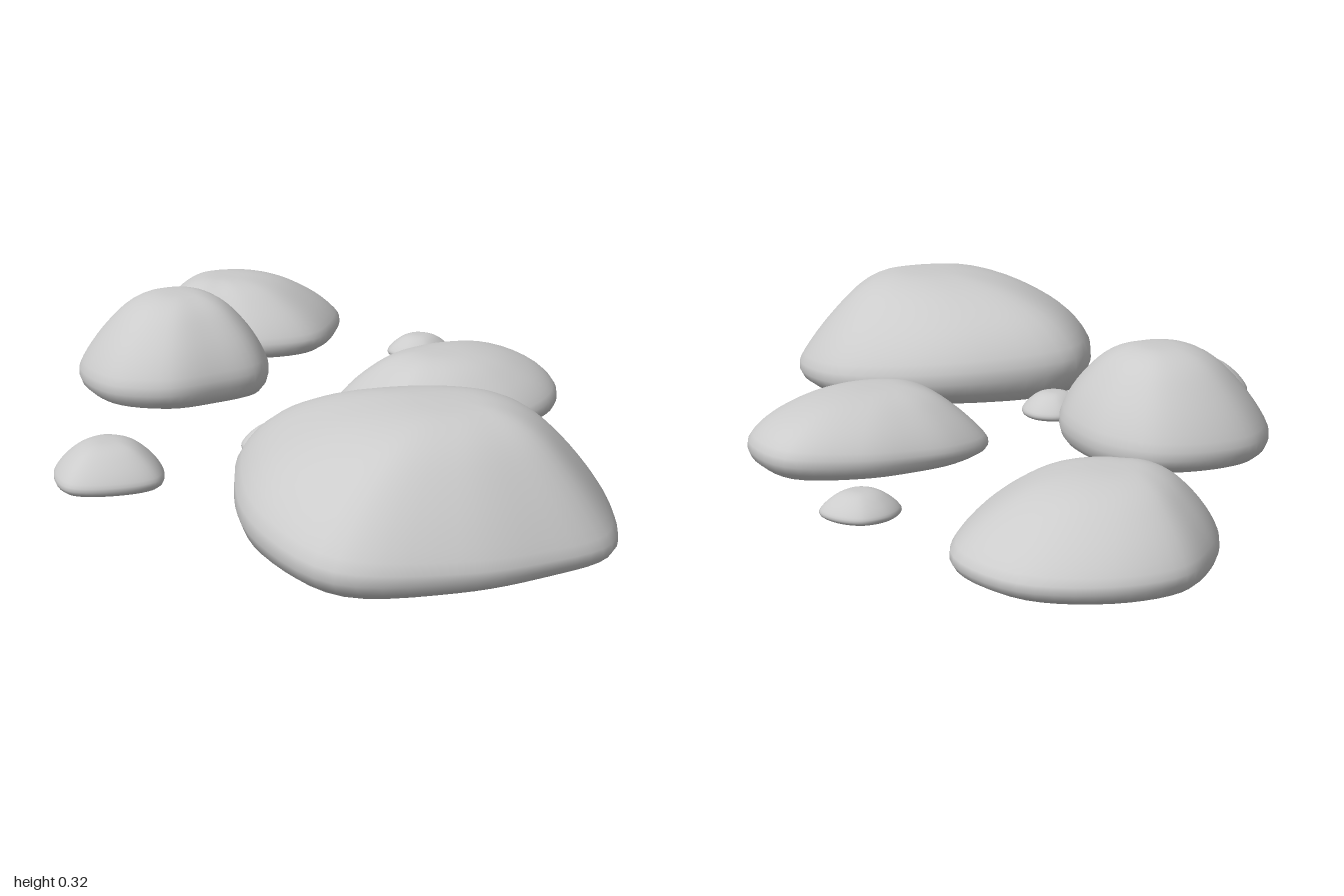
import * as THREE from 'three';

const SEGMENTS = 60, RINGS = 30;

// Shared side profile, underside to summit: [scale about the summit, share of height]
const PROFILE = new THREE.CatmullRomCurve3([
  [0, 0], [0.5, 0], [0.87, 0], [0.96, 0.06], [1, 0.2], [0.93, 0.38],
  [0.75, 0.64], [0.5, 0.88], [0.27, 0.98], [0, 1],
].map(([s, t]) => new THREE.Vector3(s, t, 0)));

// Build one stone. peak: summit [x, z]; radii: rim distances from the peak at
// equal angles, from +x towards +z; tilt: lean of the rim along x and z
function stoneGeometry(peak, base, top, radii, tilt = [0, 0]) {
  const rim = new THREE.CatmullRomCurve3(radii.map((r, k) => {
    const angle = k / radii.length * Math.PI * 2;
    return new THREE.Vector3(r * Math.cos(angle), 0, r * Math.sin(angle));
  }), true);

  // Scaled copies of the rim, closed by one vertex below and one on top
  const positions = [peak[0], base, peak[1]];
  for (let i = 1; i < RINGS; i++) {
    const { x: s, y: t } = PROFILE.getPointAt(i / RINGS);
    for (let j = 0; j < SEGMENTS; j++) {
      const p = rim.getPoint(j / SEGMENTS).multiplyScalar(s);
      const lean = 4 * t * (1 - t) * (tilt[0] * p.x + tilt[1] * p.z);
      positions.push(peak[0] + p.x, base + (top - base) * t + lean, peak[1] + p.z);
    }
  }
  const last = positions.length / 3;
  positions.push(peak[0], top, peak[1]);

  const index = [];
  const at = (i, j) => 1 + (i - 1) * SEGMENTS + (j % SEGMENTS);
  for (let j = 0; j < SEGMENTS; j++) {
    index.push(0, at(1, j), at(1, j + 1));
    for (let i = 1; i < RINGS - 1; i++) {
      index.push(at(i, j), at(i + 1, j), at(i, j + 1));
      index.push(at(i, j + 1), at(i + 1, j), at(i + 1, j + 1));
    }
    index.push(at(RINGS - 1, j), last, at(RINGS - 1, j + 1));
  }
  const geometry = new THREE.BufferGeometry();
  geometry.setAttribute('position', new THREE.Float32BufferAttribute(positions, 3));
  geometry.setIndex(index);
  geometry.computeVertexNormals();
  return geometry;
}

export function createModel() {
  const group = new THREE.Group();
  group.name = 'steppingStones';
  const material = new THREE.MeshStandardMaterial({ color: 0xcccccc });
  const addStone = (name, ...shape) => {
    const mesh = new THREE.Mesh(stoneGeometry(...shape), material);
    mesh.name = name;
    group.add(mesh);
  };

  // Four large stones
  addStone('largeStone', [0.6, 0.45], 0, 0.305,
    [0.39, 0.37, 0.41, 0.51, 0.49, 0.49, 0.54, 0.46, 0.42, 0.41, 0.38, 0.36], [-0.1, 0]);
  addStone('backLeftStone', [-0.74, -0.58], 0.01, 0.21,
    [0.33, 0.27, 0.22, 0.23, 0.22, 0.21, 0.23, 0.29, 0.335, 0.385, 0.39, 0.345]);
  addStone('middleStone', [-0.47, 0], 0.065, 0.32,
    [0.26, 0.25, 0.28, 0.29, 0.275, 0.275, 0.28, 0.265, 0.26, 0.235, 0.22, 0.235], [0.04, 0]);
  addStone('flatStone', [0.17, -0.28], 0.01, 0.18,
    [0.27, 0.25, 0.255, 0.28, 0.265, 0.275, 0.255, 0.25, 0.29, 0.36, 0.345, 0.31], [0, -0.08]);

  // Three pebbles
  addStone('frontPebble', [-0.23, 0.63], 0.02, 0.12,
    [0.15, 0.135, 0.15, 0.13, 0.14, 0.16, 0.145, 0.13]);
  addStone('middlePebble', [-0.02, 0.22], 0.02, 0.085,
    [0.09, 0.09, 0.09, 0.09, 0.08, 0.085, 0.085, 0.085]);
  addStone('backPebble', [-0.14, -0.73], 0.02, 0.08,
    [0.08, 0.085, 0.09, 0.095, 0.09, 0.09, 0.085, 0.092]);
  return group;
}
